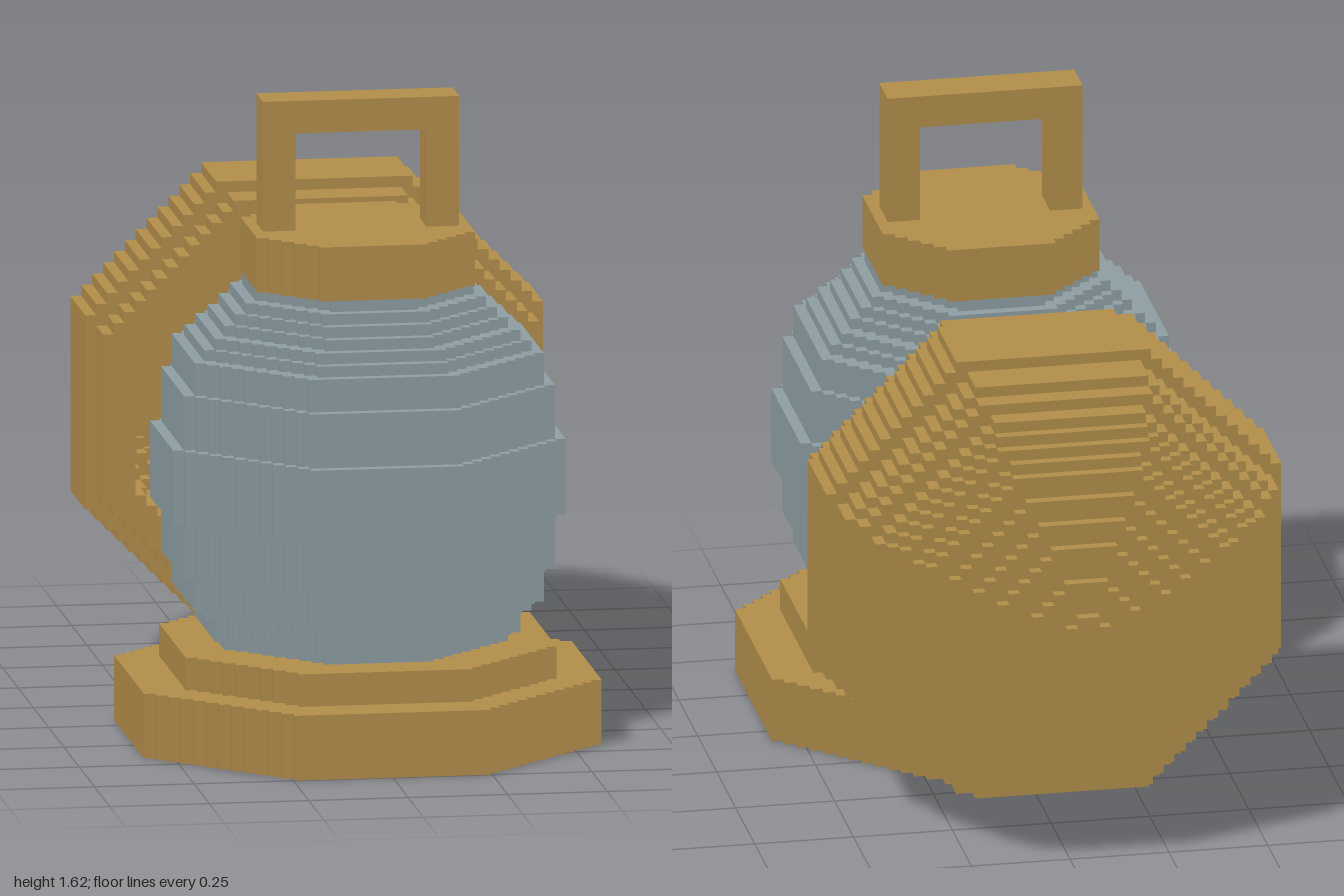
import * as THREE from 'three';
import { mergeGeometries } from 'three/addons/utils/BufferGeometryUtils.js';

const V = 2 / 73; // edge of one block
const AXIS = 15.5; // lantern axis along z, in blocks

const brass = new THREE.MeshStandardMaterial({ color: 0xb5904b });
brass.name = 'brass';
const glass = new THREE.MeshStandardMaterial({ color: 0x8fa0a5 });
glass.name = 'greyBlueGlass';

// Octagon whose diagonal sides are staircases of single blocks
function octagon(r, flat = Math.round(r * 0.4142)) {
  const quarter = [[r, flat]];
  for (let i = 1; i <= r - flat; i++) {
    quarter.push([r - i, flat + i - 1], [r - i, flat + i]);
  }
  const pts = [];
  for (let q = 0; q < 4; q++) {
    for (const [x, y] of quarter) {
      pts.push(new THREE.Vector2(
        [x, -y, -x, y][q],
        [y, x, -y, -x][q],
      ));
    }
  }
  return pts;
}

// One slab of an octagonal stack, running along z from z0
function slab(r, z0, depth, flat, hole = 0) {
  const shape = new THREE.Shape(octagon(r, flat));
  if (hole > 0) shape.holes.push(new THREE.Path(octagon(hole).reverse()));
  const g = new THREE.ExtrudeGeometry(shape, { depth, bevelEnabled: false });
  return g.translate(0, 0, z0);
}

// Turns a stack upright on the lantern axis
const upright = (g) => g.rotateX(-Math.PI / 2).translate(0, 0, AXIS);

function box(x0, x1, y0, y1, z0, z1) {
  return new THREE.BoxGeometry(x1 - x0, y1 - y0, z1 - z0)
    .translate((x0 + x1) / 2, (y0 + y1) / 2, (z0 + z1) / 2);
}

export function createModel() {
  const model = new THREE.Group();
  model.name = 'lanternWithReflector';
  const add = (name, geometries, material) => {
    const g = mergeGeometries(geometries);
    g.scale(V, V, V);
    const mesh = new THREE.Mesh(g, material);
    mesh.name = name;
    model.add(mesh);
  };

  // Stepped foot and cap
  add('baseLower', [upright(slab(21, 0, 6, 9))], brass);
  add('baseUpper', [upright(slab(17, 6, 3, 8))], brass);
  add('cap', [upright(slab(10, 42, 5, 5))], brass);

  // Globe: [radius, bottom, top]
  const globe = [
    [13, 9, 10], [14, 10, 12], [15, 12, 13], [16, 13, 16], [17, 16, 21],
    [18, 21, 28], [17, 28, 33], [16, 33, 36], [15, 36, 37], [14, 37, 38],
    [13, 38, 39], [12, 39, 40], [11, 40, 41], [10, 41, 42],
  ];
  add('globe', globe.map(([r, a, b]) => upright(slab(r, a, b - a))), glass);

  // Handle
  const hz = [AXIS - 2, AXIS + 2];
  add('handle', [
    box(-9, -6, 47, 56, ...hz),
    box(6, 9, 47, 56, ...hz),
    box(-9, 9, 56, 59, ...hz),
  ], brass);

  // Hollow reflector bowl: outer radius of each layer from rim to back
  const outer = [
    20, 20, 20, 20, 21, 21, 21, 21, 21, 21, 21, 21, 21, 20, 20, 20, 20,
    19, 19, 18, 18, 17, 16, 15, 14, 12, 10, 8, 5, 2,
  ];
  const bowl = outer.map((r, k) => {
    const hole = k + 3 < outer.length ? Math.min(r - 3, outer[k + 3]) : 0;
    return slab(r, -7.5 - k, 1, r === 21 ? 9 : undefined, hole)
      .translate(0, 25, 0);
  });
  add('reflectorBowl', bowl, brass);

  // Bracket joining base and bowl
  add('bracket', [box(-6, 6, 6, 11, -6.5, -4.5)], brass);

  return model;
}
